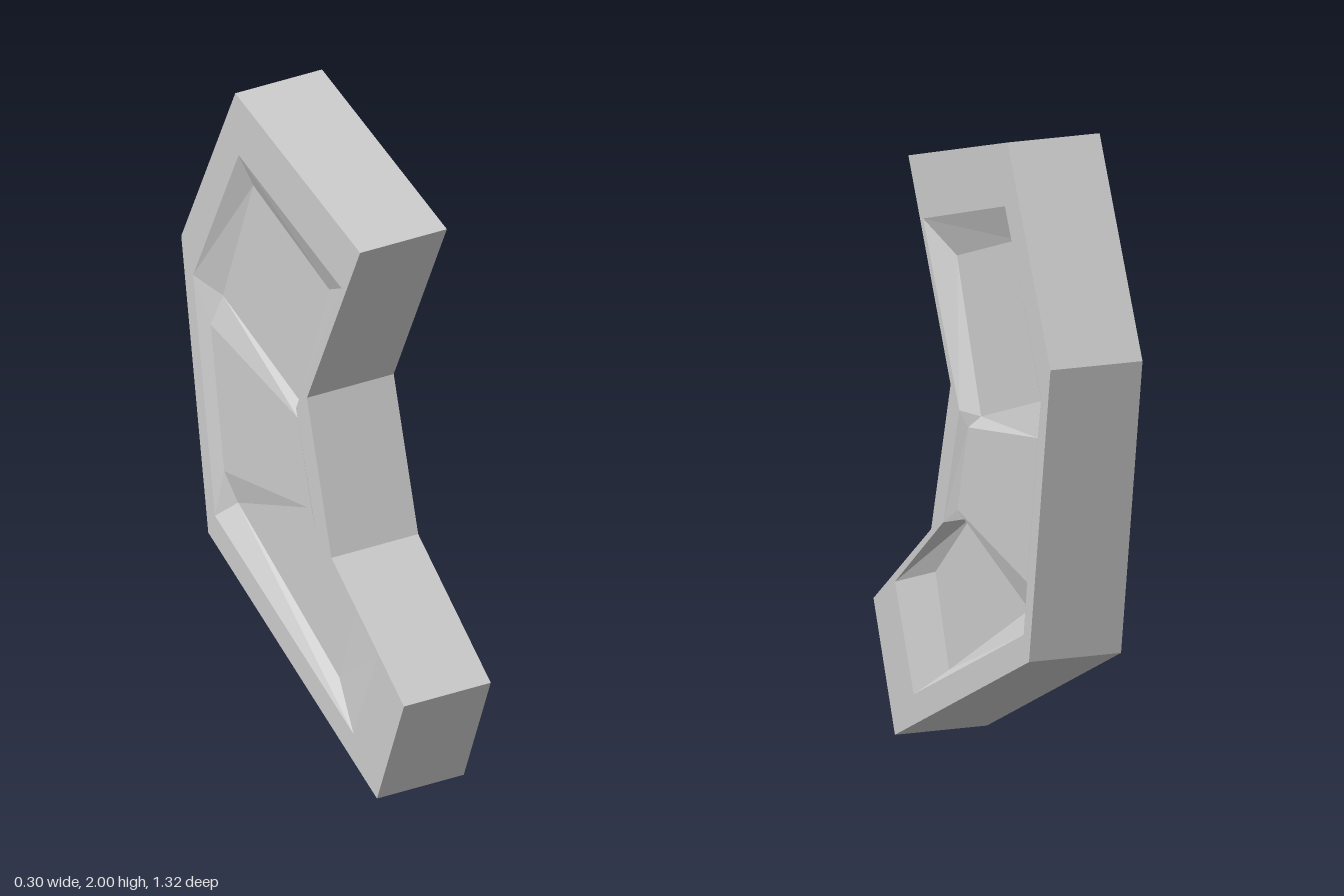
import * as THREE from 'three';

const HALF = 0.15; // half thickness along x

// Outer outline and recess rim, matched corner for corner, as [z, y]
const outline = [[0.4, 1.8], [-0.34, 2], [-0.66, 1.37], [-0.5, 0.44], [0.5, 0], [0.66, 0.385], [0.23, 0.69], [0.085, 1.165]];
const rim = [[0.29, 1.63], [-0.32, 1.8], [-0.59, 1.27], [-0.46, 0.515], [0.36, 0.155], [0.5, 0.47], [0.14, 0.73], [0.02, 1.1]];

// Recess floor as [z, y, depth, rim corner it belongs to]; the middle floor is shallower
const DEEP = 0.045, SHALLOW = 0.02;
const floor = [
  [0.14, 1.545, DEEP, 0], [-0.31, 1.69, DEEP, 1], [-0.49, 1.235, DEEP, 2],
  [-0.52, 1.13, SHALLOW, 2], [-0.44, 0.67, SHALLOW, 3], [-0.4, 0.575, DEEP, 3],
  [0.2, 0.26, DEEP, 4], [0.3, 0.54, DEEP, 5], [0.04, 0.76, DEEP, 6],
  [0.08, 0.78, SHALLOW, 6], [0, 1.05, SHALLOW, 7], [-0.04, 1.09, DEEP, 7],
];
// Upper floor, step, middle floor, step, lower floor
const floorFaces = [[0, 11, 2, 1], [11, 10, 3, 2], [10, 9, 4, 3], [9, 8, 5, 4], [8, 7, 6, 5]];

// Flat-shaded mesh from convex polygons, each fanned into triangles
function polygonMesh(name, polygons) {
  const positions = [];
  for (const p of polygons) {
    for (let i = 1; i < p.length - 1; i++) positions.push(...p[0], ...p[i], ...p[i + 1]);
  }
  const geometry = new THREE.BufferGeometry();
  geometry.setAttribute('position', new THREE.Float32BufferAttribute(positions, 3));
  geometry.computeVertexNormals();
  const mesh = new THREE.Mesh(geometry, new THREE.MeshStandardMaterial({ color: 0xcccccc, flatShading: true }));
  mesh.name = name;
  return mesh;
}

// One side: flat border plus sunken panel
function sidePanel(side, label) {
  const at = ([z, y], depth = 0) => [side * (HALF - depth), y, z];
  const face = (...points) => (side > 0 ? points : points.reverse());
  const R = rim.map((p) => at(p));
  const F = floor.map((p) => at(p, p[2]));
  const O = outline.map((p) => at(p));

  const border = O.map((o, i) => {
    const k = (i + 1) % O.length;
    return face(o, R[i], R[k], O[k]);
  });
  // Sloped walls; two floor points sharing a rim corner give a triangle
  const walls = F.map((f, j) => {
    const k = (j + 1) % F.length;
    const a = floor[j][3], b = floor[k][3];
    return a === b ? face(R[a], f, F[k]) : face(R[a], f, F[k], R[b]);
  });
  const floors = floorFaces.map((ids) => face(...ids.map((i) => F[i])));

  const group = new THREE.Group();
  group.name = label + 'Side';
  group.add(
    polygonMesh(label + 'Border', border),
    polygonMesh(label + 'RecessWalls', walls),
    polygonMesh(label + 'RecessFloor', floors),
  );
  return group;
}

export function createModel() {
  const model = new THREE.Group();
  model.name = 'bentBar';

  // Edge band running all around the bent outline
  const band = outline.map(([z, y], i) => {
    const [z2, y2] = outline[(i + 1) % outline.length];
    return [[HALF, y, z], [HALF, y2, z2], [-HALF, y2, z2], [-HALF, y, z]];
  });
  model.add(polygonMesh('edgeBand', band), sidePanel(1, 'left'), sidePanel(-1, 'right'));
  return model;
}
